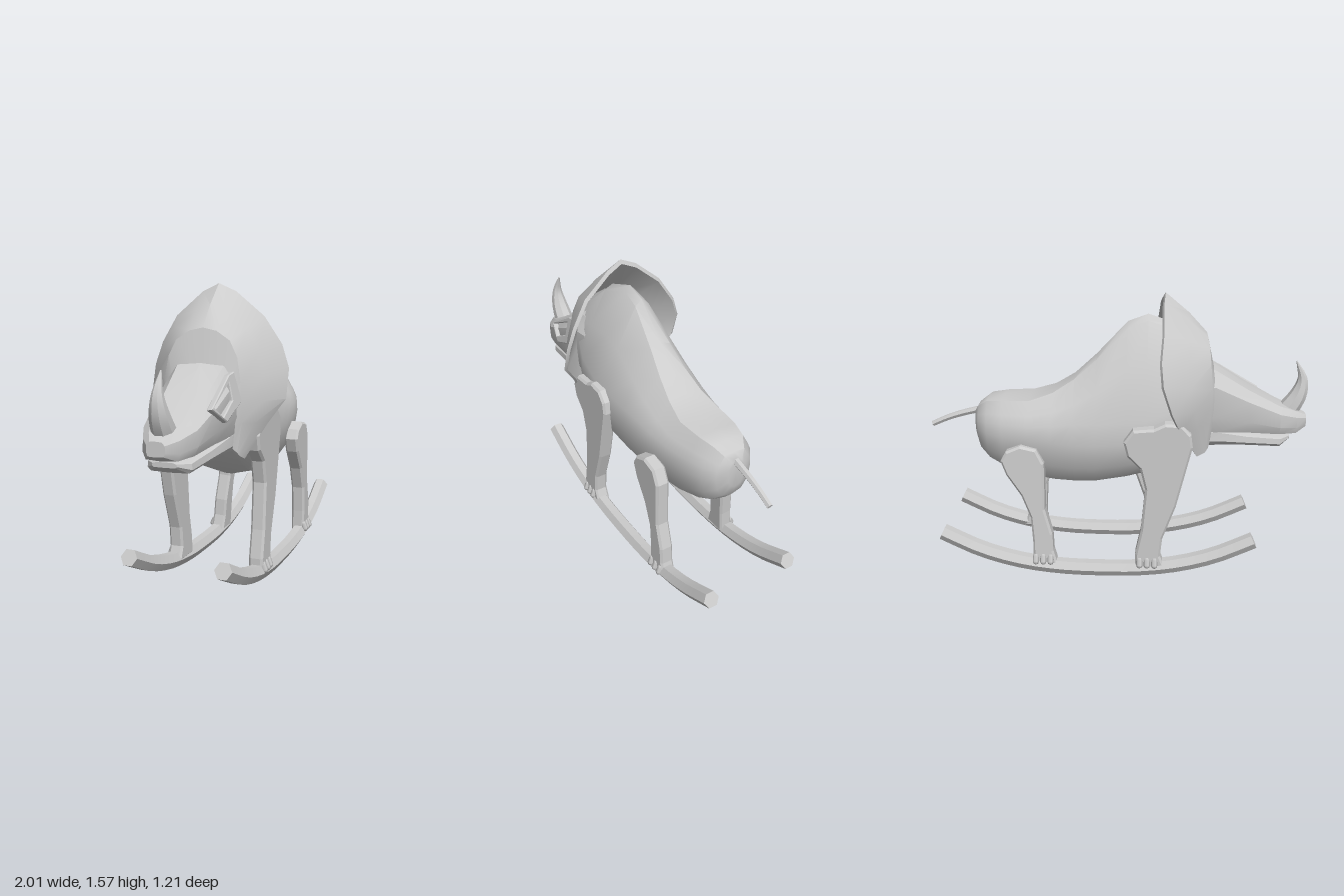
import * as THREE from 'three';
import { toCreasedNormals } from 'three/addons/utils/BufferGeometryUtils.js';

const grey = new THREE.MeshStandardMaterial({ color: 0xcccccc });
const greyDouble = new THREE.MeshStandardMaterial({ color: 0xcccccc, side: THREE.DoubleSide });
const BEND = 0.045; // head and neck turn slightly to the left

function add(parent, name, geometry, material = grey) {
  const mesh = new THREE.Mesh(geometry, material);
  mesh.name = name;
  parent.add(mesh);
  return mesh;
}

// Skin a row of rings ([x, y, z] points); closed rings get end caps.
function loft(rings, closed = true, crease = 0.5) {
  const n = rings[0].length, pos = rings.flat(2), index = [];
  const steps = closed ? n : n - 1;
  for (let i = 0; i < rings.length - 1; i++) {
    for (let k = 0; k < steps; k++) {
      const a = i * n + k, b = i * n + (k + 1) % n;
      index.push(a, b, a + n, b, b + n, a + n);
    }
  }
  if (closed) {
    const last = (rings.length - 1) * n;
    for (let k = 1; k < n - 1; k++) {
      index.push(0, k + 1, k, last, last + k, last + k + 1);
    }
  }
  const g = new THREE.BufferGeometry();
  g.setAttribute('position', new THREE.Float32BufferAttribute(pos, 3));
  g.setIndex(index);
  return toCreasedNormals(g, crease);
}

// Mirror a half section [z, y] (top to bottom) into a full ring at x.
function section(x, half, shift = 0) {
  const other = half.slice(1, -1).reverse().map(([z, y]) => [-z, y]);
  return [...half, ...other].map(([z, y]) => [x, y, z + shift]);
}

// Sweep a polygon along a curve in the x-y plane with a varying radius.
function sweep(points, radius, sides, steps) {
  const curve = new THREE.CatmullRomCurve3(points.map(([x, y]) => new THREE.Vector3(x, y, 0)));
  const rings = [];
  for (let i = 0; i <= steps; i++) {
    const t = i / steps, p = curve.getPoint(t), d = curve.getTangent(t), r = radius(t), ring = [];
    for (let k = 0; k < sides; k++) {
      const a = (k + 0.5) / sides * Math.PI * 2, up = Math.cos(a) * r;
      ring.push([p.x - d.y * up, p.y + d.x * up, Math.sin(a) * r]);
    }
    rings.push(ring);
  }
  return loft(rings);
}

// Bevelled plate cut from an outline, centred in depth.
function plate(outline, depth, bevel, hole) {
  const toVec = ([x, y]) => new THREE.Vector2(x, y);
  const shape = new THREE.Shape(outline.map(toVec));
  if (hole) shape.holes.push(new THREE.Path(hole.map(toVec)));
  const g = new THREE.ExtrudeGeometry(shape, {
    depth, bevelThickness: bevel, bevelSize: bevel, bevelOffset: -bevel, bevelSegments: 1,
  });
  g.translate(0, 0, -depth / 2);
  return g;
}

function buildBody(parent) {
  // x, bottom, widest height, top, half width, ridge half width
  const stations = [
    [-0.51, 0.8, 0.95, 1.28, 0.17, 0.07], [-0.38, 0.68, 0.87, 1.4, 0.22, 0.05],
    [-0.2, 0.56, 0.8, 1.46, 0.24, 0.03], [-0.09, 0.53, 0.79, 1.42, 0.24, 0.04],
    [0.08, 0.5, 0.78, 1.24, 0.24, 0.06], [0.2, 0.495, 0.78, 1.13, 0.236, 0.08],
    [0.32, 0.5, 0.79, 1.05, 0.226, 0.1], [0.45, 0.52, 0.8, 1.005, 0.21, 0.12],
    [0.6, 0.57, 0.8, 1.0, 0.18, 0.11], [0.69, 0.62, 0.81, 0.99, 0.15, 0.09],
    [0.745, 0.68, 0.82, 0.95, 0.105, 0.06], [0.77, 0.75, 0.84, 0.91, 0.05, 0.03],
  ];
  const rings = stations.map(([x, yb, ym, yt, w, r]) => {
    const h = yt - ym, d = ym - yb;
    return section(x, [
      [0, yt], [r, yt - h * 0.05], [r + (w - r) * 0.6, ym + h * 0.6],
      [w * 0.97, ym + Math.min(0.12, h * 0.35)], [w, ym], [w * 0.9, ym - d * 0.5],
      [w * 0.55, yb + d * 0.12], [0, yb],
    ], BEND * Math.max(0, 0.1 - x));
  });
  add(parent, 'body', loft(rings, true, 0.6));
  add(parent, 'tail', sweep([[0.73, 0.91], [0.85, 0.88], [0.94, 0.85], [1.03, 0.81]],
    (t) => 0.02 - 0.004 * t, 6, 8));
}

function buildHead(parent) {
  // x, bottom, top, half width
  const boxy = ([x, yb, yt, w]) => {
    const h = yt - yb;
    return section(x, [[0, yt], [w * 0.65, yt - h * 0.03], [w * 0.97, yt - h * 0.25],
      [w, yb + h * 0.3], [w * 0.85, yb + h * 0.04], [0, yb]]);
  };
  const skull = [[-1.09, 0.83, 0.9, 0.045], [-1.03, 0.8, 0.93, 0.09],
    [-0.93, 0.805, 0.97, 0.135], [-0.75, 0.82, 1.07, 0.165],
    [-0.56, 0.82, 1.19, 0.185], [-0.42, 0.82, 1.2, 0.18]];
  const jaw = [[-1.0, 0.765, 0.79, 0.06], [-0.94, 0.73, 0.795, 0.11],
    [-0.75, 0.745, 0.82, 0.135], [-0.6, 0.755, 0.86, 0.165], [-0.45, 0.74, 0.88, 0.16]];
  add(parent, 'head', loft(skull.map(boxy)));
  add(parent, 'lowerJaw', loft(jaw.map(boxy)));
  add(parent, 'horn', sweep([[-0.98, 0.9], [-1.045, 1.01], [-1.06, 1.1], [-1.02, 1.2]],
    (t) => 0.056 * (1 - Math.pow(t, 1.4)) + 0.003, 8, 10));

  // Brow plate with the eye opening, set on the left cheek
  const brow = add(parent, 'browFrame', plate(
    [[-0.15, -0.02], [-0.03, -0.1], [0.16, -0.03], [0.14, 0.12], [0.08, 0.11]], 0.022, 0.005,
    [[-0.12, -0.015], [0.07, 0.075], [0.065, -0.01], [-0.055, -0.07]]));
  brow.position.set(-0.69, 1.03, 0.165);
  brow.rotation.set(-0.22, -0.13, 0);
}

function buildFrill(parent) {
  // Half rings from crown to cheek as [z, y, x]
  const inner = [[0, 1.18, -0.56], [0.05, 1.18, -0.56], [0.1, 1.16, -0.56], [0.15, 1.12, -0.56],
    [0.17, 1.05, -0.56], [0.175, 0.97, -0.56], [0.175, 0.88, -0.55], [0.16, 0.77, -0.54]];
  const brow = [[0, 1.36, -0.52], [0.07, 1.345, -0.52], [0.14, 1.3, -0.525], [0.18, 1.22, -0.53],
    [0.2, 1.1, -0.54], [0.205, 1.0, -0.54], [0.205, 0.9, -0.53], [0.18, 0.75, -0.53]];
  const rim = [[0, 1.575, -0.29], [0.09, 1.535, -0.28], [0.24, 1.41, -0.275], [0.33, 1.27, -0.26],
    [0.37, 1.15, -0.27], [0.37, 1.0, -0.32], [0.29, 0.88, -0.37], [0.2, 0.71, -0.47]];
  // Slightly bulging ring between brow and rim
  const middle = brow.map((p, i) => p.map((v, j) => {
    const mid = (v + rim[i][j]) / 2;
    return j === 2 ? mid - 0.015 : mid;
  }));
  const shrink = (ring, s, dx) => ring.map(([z, y, x]) => [z * s, 1 + (y - 1) * s, x + dx]);
  const arc = (half) => [...half.slice(1).reverse().map(([z, y, x]) => [x, y, -z]),
    ...half.map(([z, y, x]) => [x, y, z])];
  const rows = [inner, brow, middle, rim, shrink(rim, 0.96, 0.01), shrink(brow, 0.93, 0.05)];
  add(parent, 'neckFrill', loft(rows.map(arc), false), greyDouble);
}

function buildLegs(parent) {
  const front = [[-0.35, 0.06], [-0.35, 0.15], [-0.32, 0.3], [-0.3, 0.55], [-0.33, 0.67],
    [-0.4, 0.74], [-0.42, 0.82], [-0.37, 0.89], [-0.26, 0.9], [-0.2, 0.93], [-0.11, 0.925],
    [-0.06, 0.87], [-0.05, 0.8], [-0.13, 0.45], [-0.2, 0.25], [-0.21, 0.14], [-0.18, 0.06]];
  const hind = [[0.42, 0.06], [0.42, 0.2], [0.41, 0.35], [0.36, 0.48], [0.28, 0.6],
    [0.25, 0.68], [0.28, 0.735], [0.36, 0.77], [0.45, 0.75], [0.49, 0.67], [0.49, 0.4],
    [0.53, 0.25], [0.535, 0.15], [0.56, 0.06]];
  // Right legs are the left ones turned half way round a pivot, the hind one leaning in
  const kinds = [['FrontLeg', front, -0.325, -0.25, 0], ['HindLeg', hind, 0.435, 0.425, 0.06]];
  for (const side of [1, -1]) {
    const label = side > 0 ? 'left' : 'right';
    for (const [name, outline, toeX, pivot, lean] of kinds) {
      const leg = new THREE.Group();
      leg.name = label + name;
      add(leg, 'legPlate', plate(outline, 0.055, 0.012));
      for (let i = 0; i < 3; i++) {
        const toe = add(leg, 'toe', new THREE.CapsuleGeometry(0.018, 0.03, 2, 6));
        toe.position.set(toeX + i * 0.042, 0.1, 0.04);
        toe.rotation.x = -0.35;
      }
      leg.position.z = side * 0.245;
      if (side < 0) {
        leg.rotation.set(lean, Math.PI, 0);
        leg.position.x = 2 * pivot;
      }
      parent.add(leg);
    }
    // Curved runner beneath both feet
    const path = [];
    for (let i = -4; i <= 4; i++) {
      path.push([0.07 + i * 0.2195, 0.042 + 0.203 * Math.pow(Math.abs(i) / 4, 2.5)]);
    }
    add(parent, label + 'Rocker', sweep(path, () => 0.046, 6, 20)).position.z = side * 0.25;
  }
}

export function createModel() {
  const model = new THREE.Group();
  model.name = 'rockingBeast';
  const beast = new THREE.Group();
  beast.name = 'beast';
  beast.position.z = 0.025;
  buildBody(beast);
  buildLegs(beast);
  const front = new THREE.Group();
  front.name = 'headAndFrill';
  front.rotation.y = BEND;
  front.position.z = 0.1 * BEND;
  buildHead(front);
  buildFrill(front);
  beast.add(front);
  const turned = new THREE.Group();
  turned.name = 'turnedFigure';
  turned.rotation.y = 0.383;
  turned.add(beast);
  model.add(turned);
  return model;
}
